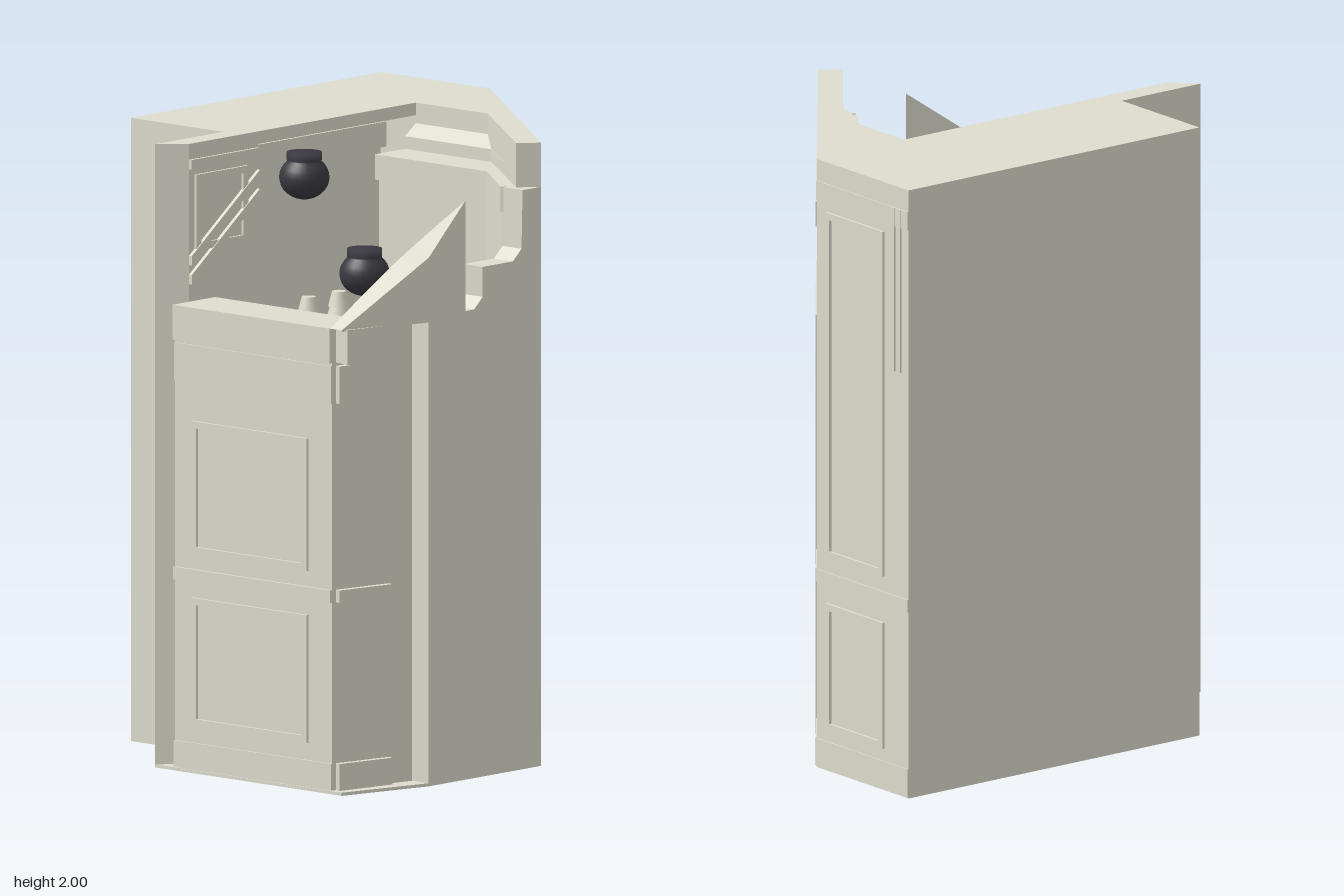
import * as THREE from 'three';
import { mergeVertices } from 'three/addons/utils/BufferGeometryUtils.js';

const mat = (name, color, side = THREE.FrontSide) => {
  const m = new THREE.MeshStandardMaterial({ color, side });
  m.name = name;
  return m;
};

export function createModel() {
  const root = new THREE.Group();
  root.name = 'cubicle';
  const stone = mat('pale stone', 0xdddccd);
  const sheet = mat('pale stone sheet', 0xdddccd, THREE.DoubleSide);
  const iron = mat('dark iron', 0x3a3941);

  const add = (name, geo, m = stone, parent = root) => {
    const mesh = new THREE.Mesh(geo, m);
    mesh.name = name;
    parent.add(mesh);
    return mesh;
  };
  const box = (name, x0, x1, y0, y1, z0, z1, parent = root, m = stone) =>
    add(name, new THREE.BoxGeometry(x1 - x0, y1 - y0, z1 - z0), m, parent)
      .position.set((x0 + x1) / 2, (y0 + y1) / 2, (z0 + z1) / 2);
  // Plan outline of [x, z] points raised from y0 to y1
  const plan = (name, pts, y0, y1) => {
    const s = new THREE.Shape(pts.map(([x, z]) => new THREE.Vector2(x, -z)));
    const g = new THREE.ExtrudeGeometry(s, { depth: y1 - y0, bevelEnabled: false });
    g.rotateX(-Math.PI / 2).translate(0, y0, 0);
    return add(name, g);
  };
  // Smooth ruled surface between two edges with equal point counts
  const ruled = (name, a, b) => {
    const pos = [];
    for (let i = 0; i < a.length - 1; i++)
      pos.push(...a[i], ...b[i], ...b[i + 1], ...a[i], ...b[i + 1], ...a[i + 1]);
    const g = new THREE.BufferGeometry();
    g.setAttribute('position', new THREE.Float32BufferAttribute(pos, 3));
    const merged = mergeVertices(g);
    merged.computeVertexNormals();
    add(name, merged, sheet);
  };
  // Local wall frame: x along the wall, z outward
  const face = (name, x, z, angle) => {
    const f = new THREE.Group();
    f.name = name;
    f.position.set(x, 0, z);
    f.rotation.y = angle;
    root.add(f);
    return f;
  };
  // Moulded rectangular frame on a wall
  const frame = (parent, x0, x1, y0, y1, z = 0, t = 0.022, depth = 0.009) => {
    const rect = (P, d) => new P([[x0 + d, y0 + d], [x1 - d, y0 + d], [x1 - d, y1 - d], [x0 + d, y1 - d]]
      .map(p => new THREE.Vector2(...p)));
    const s = rect(THREE.Shape, 0);
    s.holes.push(rect(THREE.Path, t));
    const g = new THREE.ExtrudeGeometry(s, { depth, bevelEnabled: false });
    add('panelFrame', g.translate(0, 0, z), stone, parent);
  };

  // Rear diagonal wall coordinates: s along, d inward
  const diag = (s, d = 0) => [-0.17 + 0.8 * s - 0.625 * d, -0.74 + 0.64 * s + 0.781 * d];
  const notch = [diag(0.25), diag(0.25, 0.04), diag(0.797, 0.04), diag(0.797)];
  const frontLeft = [[-0.165, 0.66], [-0.24, 0.735], [-0.24, 0.42], [-0.63, 0.42]];
  const widePier = [[-0.12, 0.34], [-0.12, 0.7], [-0.165, 0.7]];
  const thinPier = [[-0.165, 0.34]];
  const ring = (inner, pier, door) => [
    [-0.63, -0.74], diag(0), ...door, diag(1), ...inner,
    [-0.165, -0.68], [-0.58, -0.68], [-0.58, 0.37], [-0.2, 0.37], [-0.2, 0.34], ...pier, ...frontLeft];
  const low = [[0.63, -0.09], [0.55, -0.03], [0.53, -0.03], [0.29, -0.22], [-0.165, -0.22]];
  const mid = [[0.63, -0.09], [0.55, -0.03], [0.53, -0.02], [0.31, -0.2], [-0.165, -0.2]];
  const shelf = [[0.58, -0.04], [0.2, -0.34], [-0.165, -0.34]];
  const high = [[0.58, -0.04], [0.14, -0.39], [-0.165, -0.39]];

  // Main walls, cornice step and roof over the alcove
  plan('lowerWalls', ring(low, widePier, notch), 0.03, 1.4);
  plan('upperWalls', ring(low, thinPier, []), 1.4, 1.78);
  plan('innerCornice', ring(mid, thinPier, []), 1.78, 1.86);
  plan('corniceStep', ring(shelf, thinPier, []), 1.86, 1.9);
  plan('topWalls', ring(high, thinPier, []), 1.9, 1.96);
  plan('roof', [[-0.63, -0.74], diag(0), diag(1), ...high, ...thinPier, ...frontLeft], 1.96, 2);
  ruled('corniceBevel', [[-0.165, 1.935, -0.39], [0.14, 1.935, -0.39]],
    [[-0.165, 1.9, -0.34], [0.2, 1.9, -0.34]]);
  box('alcoveCornice', -0.585, -0.555, 1.78, 1.86, -0.68, 0.37);

  // Floor
  plan('floor', [[-0.63, -0.74], diag(0), diag(1), [0.63, 0.42], [0.55, 0.735],
    [-0.24, 0.735], [-0.24, 0.42], [-0.63, 0.42]], 0.025, 0.035);
  const skirt = add('floorSkirt', new THREE.PlaneGeometry(1.16, 0.03));
  skirt.rotation.y = Math.PI / 2;
  skirt.position.set(-0.24, 0.015, -0.16);

  // Right wall with chamfered steps
  const side = new THREE.Shape([[0.42, 0.03], [0.42, 1.51], [0.21, 1.51], [0.17, 1.545], [0.17, 1.64], [0.03, 1.64],
    [-0.01, 1.675], [-0.015, 1.86], [-0.09, 1.86], [-0.09, 0.03]].map(([z, y]) => new THREE.Vector2(-z, y)));
  const sideGeo = new THREE.ExtrudeGeometry(side, { depth: 0.08, bevelEnabled: false });
  add('rightWall', sideGeo.rotateY(Math.PI / 2).translate(0.55, 0, 0));

  // Front parapet with angled right end
  plan('frontWall', [[-0.165, 0.725], [0.5, 0.725], [0.56, 0.42], [0.55, 0.42], [0.53, 0.54], [-0.165, 0.54]], 0.03, 1.5);
  const front = face('frontTrim', 0, 0.725, 0);
  for (const [y0, y1, d] of [[0.03, 0.12, 0.006], [0.63, 0.67, 0.009], [1.26, 1.38, 0.005], [1.39, 1.5, 0.012]])
    box('frontRail', -0.165, 0.5, y0, y1, 0, d, front);
  for (const [y0, y1] of [[0.175, 0.58], [0.72, 1.14]]) frame(front, -0.09, 0.4, y0, y1);

  // Rails on the angled end
  const end = face('endTrim', 0.5, 0.725, Math.atan2(0.981, 0.193));
  for (const [x1, y0, y1, d] of [[0.22, 0.03, 0.12, 0.02], [0.22, 0.63, 0.67, 0.02],
    [0.06, 1.26, 1.38, 0.02], [0.21, 1.39, 1.5, 0.06]])
    box('endRail', 0.015, x1, y0, y1, 0, d, end);

  // Rising parapet: curved inner edge, sloping top, upright sides
  const edge = new THREE.CatmullRomCurve3([[0.5, 1.5, 0.735], [0.55, 1.682, 0.49], [0.63, 1.86, 0.25]]
    .map(p => new THREE.Vector3(...p)));
  const rim = [[0.55, 1.5, 0.735], [0.63, 1.7, 0.42], [0.63, 1.86, 0.25]].map(p => new THREE.Vector3(...p));
  const inner = [], outer = [];
  for (let i = 0; i <= 20; i++) {
    const t = i / 20, k = t < 0.65 ? 0 : 1;
    inner.push(edge.getPoint(t).toArray());
    outer.push(rim[k].clone().lerp(rim[k + 1], k ? (t - 0.65) / 0.35 : t / 0.65).toArray());
  }
  const foot = line => line.map(([x, , z]) => [x, 1.495, z]);
  ruled('parapetTop', inner, outer);
  ruled('parapetInside', inner, foot(inner));
  ruled('parapetEnd', outer.slice(0, 14), foot(outer.slice(0, 14)));
  ruled('parapetSide', outer.slice(13), foot(outer.slice(13)));

  // Trim on the inner left pier
  const pier = face('pierTrim', -0.165, 0.735, Math.PI / 2);
  frame(pier, 0.1, 0.34, 1.66, 1.9);
  box('pierTopRail', 0.075, 0.39, 1.92, 1.95, 0, 0.01, pier);
  for (const y of [1.5, 1.56]) {
    const bar = new THREE.Shape([[0.075, y + 0.056], [0.39, y + 0.29], [0.39, y + 0.32], [0.075, y + 0.086]]
      .map(p => new THREE.Vector2(...p)));
    add('slopingRail', new THREE.ExtrudeGeometry(bar, { depth: 0.012, bevelEnabled: false }), stone, pier);
  }

  // Back wall panels and rails
  const back = face('backTrim', -0.17, -0.74, Math.PI);
  for (const [y0, y1] of [[0.03, 0.12], [0.63, 0.67], [1.87, 1.93]])
    box('backRail', 0, 0.46, y0, y1, 0, 0.004, back);
  for (const [y0, y1] of [[0.16, 0.57], [0.72, 1.84]]) frame(back, 0.05, 0.34, y0, y1);
  for (const x of [0.38, 0.41]) box('backStrip', x, x + 0.015, 1.4, 1.93, 0, 0.007, back);

  // Diagonal wall with recessed door
  const rear = face('doorWall', 0.63, -0.1, Math.atan2(0.625, -0.781));
  for (const [x0, x1, y0, y1] of [[0.185, 0.21, 0.03, 1.4], [0.77, 0.8, 0.03, 1.4], [0.185, 0.8, 1.4, 1.43]])
    box('doorCasing', x0, x1, y0, y1, 0, 0.006, rear);
  box('doorLeaf', 0.225, 0.735, 0.035, 1.365, -0.04, -0.025, rear);
  for (const [y0, y1] of [[0.18, 0.52], [0.67, 0.77], [0.85, 1.28]])
    frame(rear, 0.31, 0.65, y0, y1, -0.025, 0.015, 0.005);
  for (const [x0, y0, y1] of [[0.42, 1.78, 1.86], [0.8, 0.63, 0.67], [0.8, 0.03, 0.12]])
    box('wallRail', x0, 1.02, y0, y1, 0, 0.004, rear);
  box('handlePlate', 0.222, 0.256, 0.55, 0.67, -0.025, -0.015, rear, iron);
  box('handleLever', 0.23, 0.27, 0.627, 0.64, -0.015, 0.005, rear, iron);

  // Round lamps with short collars
  const lampProfile = [[0, 0.08], [0.055, 0.08], [0.055, 0.055]];
  for (let i = 0; i <= 12; i++) {
    const a = 0.75 + (Math.PI - 0.75) * i / 12;
    lampProfile.push([Math.max(0, Math.sin(a)) * 0.079, Math.cos(a) * 0.07]);
  }
  const lampGeo = new THREE.LatheGeometry(lampProfile.reverse().map(p => new THREE.Vector2(...p)), 28);
  for (const p of [[0.13, 1.562, 0.17], [-0.34, 1.785, -0.065]]) add('lamp', lampGeo, iron).position.set(...p);

  // Stepped sconces on the alcove wall
  for (const z of [-0.31, -0.45]) {
    for (let i = 0; i < 3; i++)
      add('sconceTier', new THREE.CylinderGeometry(0.034 - i * 0.006, 0.05 - i * 0.008, 0.047, 20))
        .position.set(-0.545, 1.235 + i * 0.047, z);
    box('sconceBracket', -0.585, -0.51, 1.19, 1.212, z - 0.03, z + 0.03);
  }

  // Seat pan with lid, hinge and lever
  const pan = (x0, x1, z0, z1, r) => {
    const pts = [[x0, z1], [x1, z1]];
    for (let i = 0; i <= 12; i++) {
      const c = Math.cos(Math.PI * i / 12);
      pts.push([(x0 + x1) / 2 + Math.sign(Math.round(c * 9)) * ((x1 - x0) / 2 - r) + r * c,
        z0 + r - r * Math.sin(Math.PI * i / 12)]);
    }
    return pts;
  };
  plan('seatBase', pan(0.01, 0.31, 0.14, 0.53, 0.08), 0.03, 0.36);
  plan('seatLid', pan(0.04, 0.275, 0.155, 0.46, 0.08), 0.36, 0.367);
  box('seatHinge', 0, 0.32, 0.36, 0.38, 0.505, 0.535);
  box('flushLever', 0.03, 0.07, 0.42, 0.43, 0.48, 0.5);

  return root;
}
